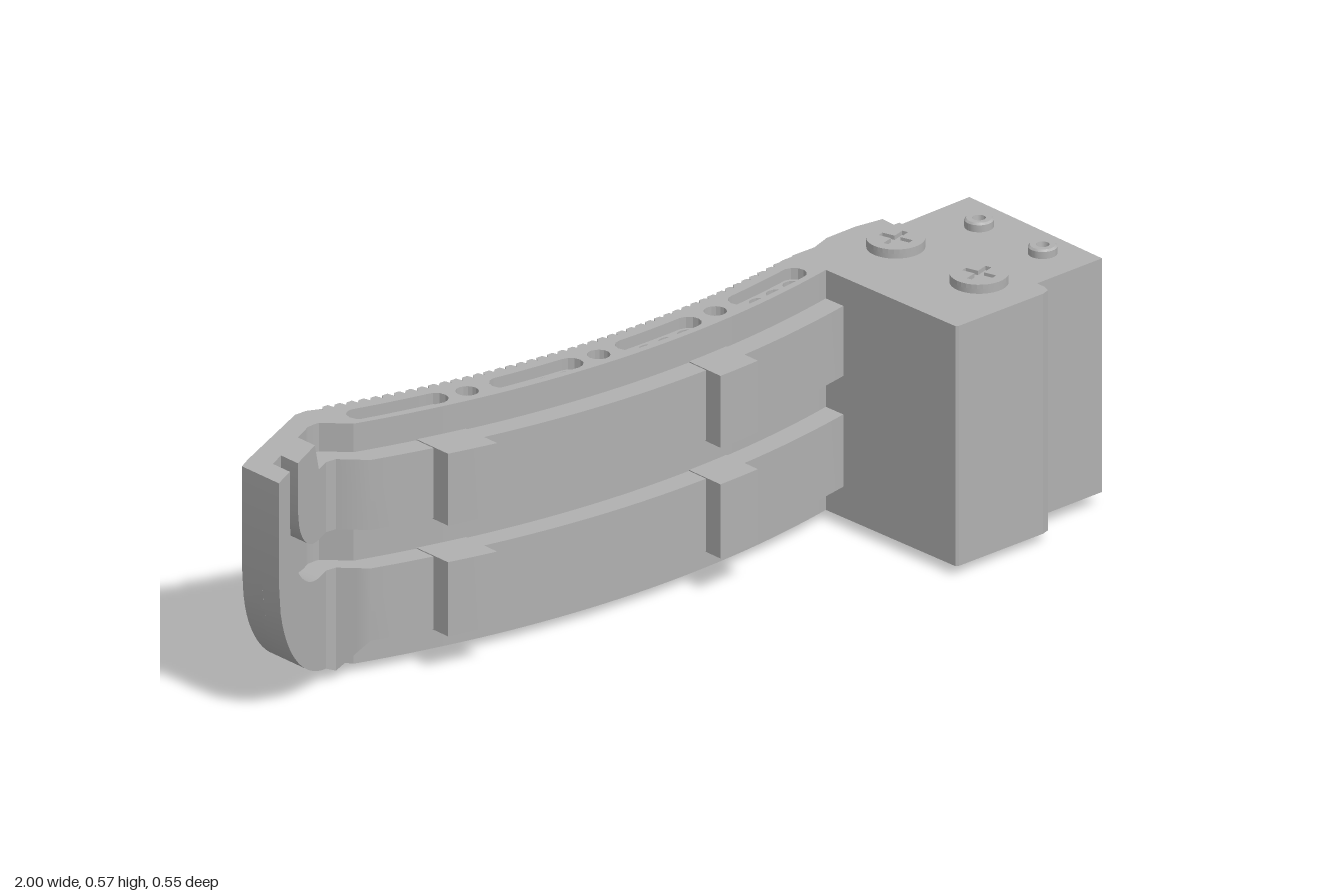
import * as THREE from 'three';
import { toCreasedNormals } from 'three/addons/utils/BufferGeometryUtils.js';

const Y0 = 0.022, Y1 = 0.553, MID = (Y0 + Y1) / 2;
const grey = new THREE.MeshStandardMaterial({ color: 0xb0b0b0 });
grey.name = 'plain grey';

// Plan curve of the arched grip, and piecewise-linear lookup for its bent tip
const arc = x => -0.095 - 0.225 * (x - 0.02) ** 2;
const lerp = (pts, x) => {
  let i = 1;
  while (i < pts.length - 1 && x > pts[i][0]) i++;
  const [a, b] = [pts[i - 1], pts[i]];
  return a[1] + (b[1] - a[1]) * (x - a[0]) / (b[0] - a[0]);
};
const TIP = -0.69;
const ribFront = x => x >= TIP ? arc(x) + 0.095
  : lerp([[-1, -0.042], [-0.765, -0.165], [-0.74, -0.163], [TIP, arc(TIP) + 0.095]], x);
const baseFront = x => ribFront(x) - 0.052;
const back = x => x >= TIP ? arc(x) - 0.055
  : lerp([[-1, -0.155], [-0.97, -0.172], [-0.75, -0.277], [-0.72, -0.277], [TIP, arc(TIP) - 0.055]], x);

// Quarter curve: falls from y1 at x0 to y1 - ry at x0 + rx
const quarter = (x, x0, rx, y1, ry) => {
  const t = THREE.MathUtils.clamp((x0 + rx - x) / rx, 0, 1);
  return y1 - ry * Math.sqrt(1 - t * t);
};
const corner = x => quarter(x, -1, 0.32, 0.335, 0.335 - Y0);

const range = (a, b, n) => Array.from({ length: n + 1 }, (_, i) => a + (b - a) * i / n);

export function createModel() {
  const model = new THREE.Group();
  const add = (name, geometry, x = 0, y = 0, z = 0, parent = model) => {
    const m = new THREE.Mesh(geometry, grey);
    m.name = name;
    m.position.set(x, y, z);
    parent.add(m);
    return m;
  };
  const box = (name, x0, x1, y0, y1, z0, z1) =>
    add(name, new THREE.BoxGeometry(x1 - x0, y1 - y0, z1 - z0), (x0 + x1) / 2, (y0 + y1) / 2, (z0 + z1) / 2);

  // Slab with an (x, z) plan, raised from y0 to y1
  const slab = (name, plan, holes, y0, y1) => {
    const toV = p => new THREE.Vector2(p[0], -p[1]);
    const shape = new THREE.Shape(plan.map(toV));
    shape.holes = holes.map(h => new THREE.Path(h.map(toV)));
    const g = new THREE.ExtrudeGeometry(shape, { depth: y1 - y0, bevelEnabled: false });
    g.rotateX(-Math.PI / 2);
    return add(name, g, 0, y0, 0);
  };

  // Strip lofted along x from four-cornered cross-sections
  const strip = (name, xs, front, rear, lo, hi) => {
    const pos = [], idx = [];
    xs.forEach((x, i) => {
      const l = lo(x), h = Math.max(hi(x), l + 0.001);
      pos.push(x, l, front(x), x, h, front(x), x, h, rear(x), x, l, rear(x));
      if (!i) return;
      for (let k = 0; k < 4; k++) {
        const a = (i - 1) * 4 + k, b = (i - 1) * 4 + (k + 1) % 4;
        idx.push(a, a + 4, b, b, a + 4, b + 4);
      }
    });
    const e = (xs.length - 1) * 4;
    idx.push(0, 1, 2, 0, 2, 3, e, e + 2, e + 1, e, e + 3, e + 2);
    const g = new THREE.BufferGeometry();
    g.setAttribute('position', new THREE.Float32BufferAttribute(pos, 3));
    g.setIndex(idx);
    return add(name, toCreasedNormals(g, 0.5));
  };

  // Arched grip core with a serrated back
  const plan = range(TIP, 0.55, 32).map(x => [x, baseFront(x)]);
  plan.push([0.55, -0.207], [0.5, -0.205]);
  const teeth = 46, step = (0.49 - TIP) / teeth;
  for (let i = teeth - 1; i >= 0; i--) {
    const x = TIP + i * step;
    plan.push([x + step * 0.85, arc(x) - 0.062], [x + step * 0.3, arc(x) - 0.062], [x, arc(x) - 0.051]);
  }
  const disc = (x, r) => range(0, Math.PI * 2, 16).slice(1).map(a => [x + r * Math.cos(a), arc(x) + r * Math.sin(a)]);
  const slot = (a, b, r) => {
    const xs = range(a + r, b - r, 10), end = (x, s) =>
      range(-Math.PI / 2, Math.PI / 2, 6).slice(1, -1).map(t => [x + s * r * Math.cos(t), arc(x) + s * r * Math.sin(t)]);
    return [...xs.map(x => [x, arc(x) - r]), ...end(b - r, 1),
      ...xs.reverse().map(x => [x, arc(x) + r]), ...end(a + r, -1)];
  };
  const slots = [[-0.675, -0.455], [-0.355, -0.135], [-0.04, 0.18], [0.28, 0.5]];
  const singles = [-0.41, -0.09, 0.23].map(x => disc(x, 0.024));
  const bores = slots.flatMap(([a, b]) => range(a + 0.03, b - 0.03, 3).map(x => disc(x, 0.021)));
  const slotHoles = slots.map(([a, b]) => slot(a, b, 0.027));
  slab('gripLowerFace', plan, [...singles, ...slotHoles], Y0, Y0 + 0.025);
  slab('gripCore', plan, [...singles, ...bores], Y0 + 0.025, Y1 - 0.025);
  slab('gripUpperFace', plan, [...singles, ...slotHoles], Y1 - 0.025, Y1);

  // Bent tip with a rounded lower corner
  const tipXs = [...range(-1, -0.95, 6), ...range(-0.94, -0.77, 14), -0.75, -0.74, -0.72, TIP];
  strip('gripTip', tipXs, baseFront, back, corner, () => Y1);

  // Raised front ribs with a curved groove between them
  const over = x => baseFront(x) - 0.01;
  const ribXs = [...range(-0.68, 0.55, 30)];
  strip('tipRim', range(-1, -0.945, 6), ribFront, over, corner, () => Y1);
  strip('lowerRib', [...range(-0.945, -0.77, 20), -0.765, -0.74, -0.71, TIP, ...ribXs], ribFront, over,
    x => x < -0.74 ? corner(x) : x < TIP ? Y0 + (x + 0.74) / 0.05 * 0.068 : 0.09,
    x => quarter(x, -0.945, 0.155, 0.44, 0.19));
  strip('upperRib', [...range(-0.905, -0.82, 14), -0.8, -0.765, -0.74, TIP, ...ribXs], ribFront, over,
    x => quarter(x, -0.905, 0.105, 0.45, 0.115), x => x < -0.81 ? Y1 : 0.49);

  // Pads wrapped over the ribs
  for (const [a, b] of [[-0.555, -0.445], [0.115, 0.222]])
    for (const [lo, hi] of [[0.088, 0.252], [0.333, 0.492]])
      strip('ribPad', range(a, b, 4), x => ribFront(x) + 0.044, over, () => lo, () => hi);

  // Mounting block
  slab('mountBlock', [[0.53, -0.21], [0.535, -0.06], [0.545, 0.272], [0.552, 0.276], [0.785, 0.268], [0.803, 0.262],
    [0.81, 0.245], [0.81, 0.212], [0.75, 0.212], [0.75, -0.19], [0.785, -0.19], [0.787, -0.226], [0.72, -0.234],
    [0.64, -0.23], [0.59, -0.211]], [], Y0, Y1);

  // End face: three raised panels, leaving two channels holding posts
  for (const [lo, hi] of [[Y0, 0.095], [0.165, 0.413], [0.481, Y1]])
    box('endPanel', 0.745, 0.8, lo, hi, -0.19, 0.212);
  for (const y of [0.13, 0.447])
    for (const z of [0.143, -0.102])
      add('channelPost', new THREE.CylinderGeometry(0.031, 0.031, 0.07, 20), 0.768, y, z);

  // Rectangular socket on the end face
  const roundRect = (Kind, w, h, r) => {
    const s = new Kind();
    s.absarc(w - r, h - r, r, 0, Math.PI / 2);
    s.absarc(r - w, h - r, r, Math.PI / 2, Math.PI);
    s.absarc(r - w, r - h, r, Math.PI, Math.PI * 1.5);
    s.absarc(w - r, r - h, r, Math.PI * 1.5, Math.PI * 2);
    s.closePath();
    return s;
  };
  const frame = roundRect(THREE.Shape, 0.087, 0.041, 0.012);
  frame.holes.push(roundRect(THREE.Path, 0.062, 0.023, 0.003));
  const frameGeo = new THREE.ExtrudeGeometry(frame, { depth: 0.035, bevelEnabled: false, curveSegments: 5 });
  add('socketFrame', frameGeo.rotateY(Math.PI / 2), 0.798, 0.29, 0.065);

  // Open end bracket: front wall and two thin plates
  const wall = box('bracketWall', 0.79, 1, 0.03, 0.547, 0.198, 0.208);
  wall.rotation.y = 0.04;
  for (const y of [0.03, 0.54])
    slab('bracketPlate', [[0.78, -0.19], [0.78, 0.212], [1, 0.203], [1, -0.203]], [], y, y + 0.007);
  for (const y of [0.112, 0.47]) {
    const ring = add('wallEyelet', new THREE.TorusGeometry(0.021, 0.003, 6, 20), 0.922, y, -0.199);
    ring.scale.z = 1.5;
  }

  // Screws and rivets, mirrored top and bottom
  const screw = new THREE.Shape().absarc(0, 0, 0.06, 0, Math.PI * 2);
  const w = 0.007, l = 0.036;
  screw.holes.push(new THREE.Path([[w, w], [w, l], [-w, l], [-w, w], [-l, w], [-l, -w], [-w, -w], [-w, -l],
    [w, -l], [w, -w], [l, -w], [l, w]].map(p => new THREE.Vector2(...p).rotateAround(new THREE.Vector2(), 0.3))));
  const headGeo = new THREE.ExtrudeGeometry(screw, { depth: 0.01, bevelEnabled: false, curveSegments: 16 });
  headGeo.rotateX(-Math.PI / 2);
  const rivetGeo = toCreasedNormals(new THREE.LatheGeometry([[0, 0.01], [0.012, 0.01], [0.014, 0.022], [0.026, 0.022],
    [0.03, 0.018], [0.03, 0]].reverse().map(p => new THREE.Vector2(...p)), 24), 0.5);
  for (const s of [1, -1]) {
    const set = new THREE.Group();
    set.name = s > 0 ? 'upperFasteners' : 'lowerFasteners';
    set.position.y = MID;
    if (s < 0) set.rotation.x = Math.PI;
    model.add(set);
    for (const [x, z] of [[0.716, -0.105], [0.727, 0.138]]) {
      add('screwBase', new THREE.CylinderGeometry(0.06, 0.06, 0.012, 32), x, 0.27, s * z, set);
      add('screwHead', headGeo, x, 0.2755, s * z, set);
    }
    for (const [x, z] of [[0.918, -0.08], [0.927, 0.105]])
      add('rivet', rivetGeo, x, 0.257, s * z, set);
  }
  return model;
}
